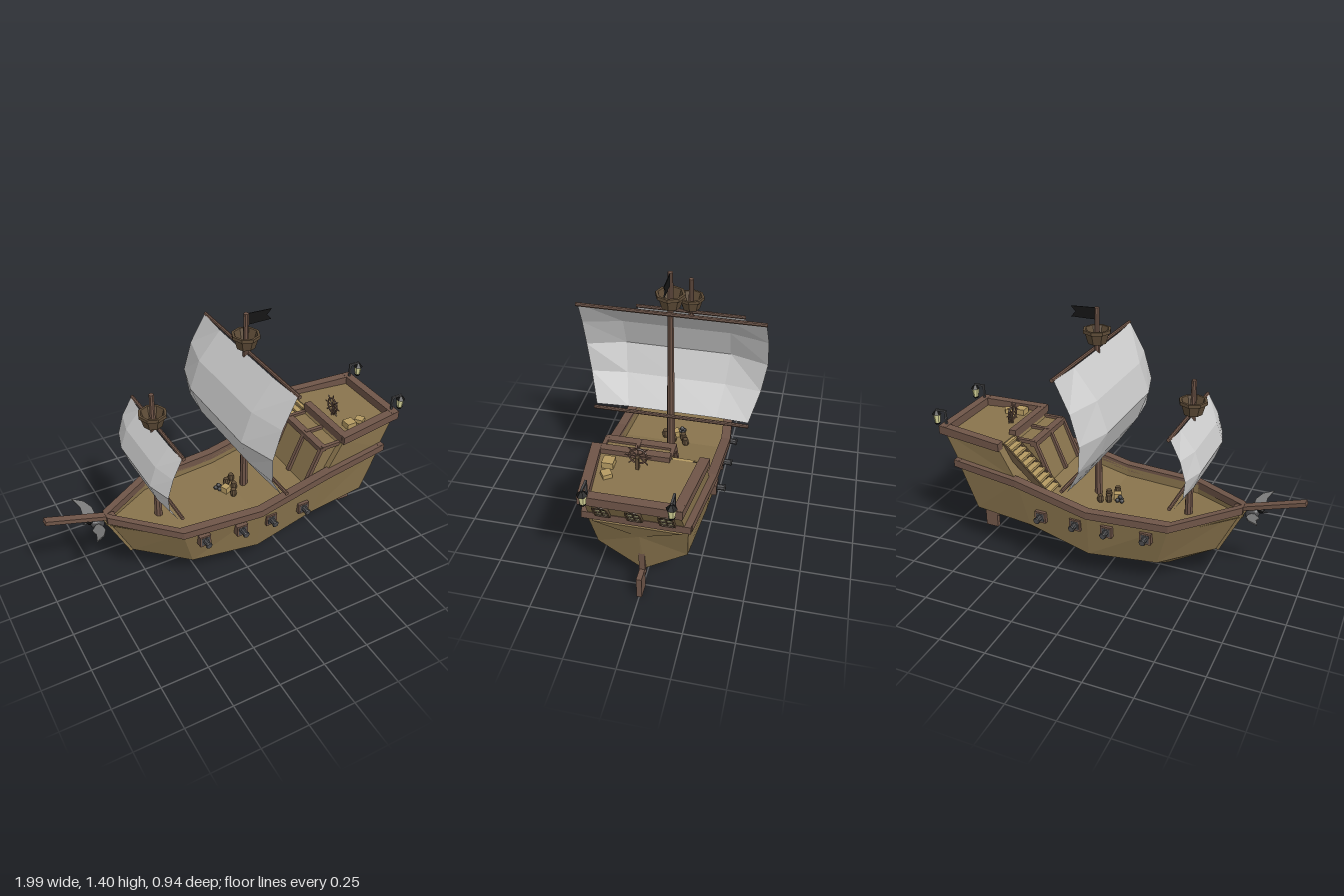
import * as THREE from 'three';

const mat = (color, side = THREE.FrontSide) => new THREE.MeshStandardMaterial({ color, flatShading: true, side });
const WOOD = mat(0x89744d), TRIM = mat(0x6f5548), DARK = mat(0x5e4c37), SAIL = mat(0xcccccc, THREE.DoubleSide);
const IRON = mat(0x4a4a4c), BLACK = mat(0x151515, THREE.DoubleSide), GLASS = mat(0xd8d69a), TAN = mat(0xb59a62);
const WING = mat(0x777777);

export function createModel() {
  const ship = new THREE.Group();
  ship.name = 'sailingShip';

  const add = (name, geo, material, x = 0, y = 0, z = 0, parent = ship) => {
    const m = new THREE.Mesh(geo, material);
    m.name = name;
    m.position.set(x, y, z);
    parent.add(m);
    return m;
  };
  const box = (name, w, h, d, material, x, y, z, parent) =>
    add(name, new THREE.BoxGeometry(w, h, d), material, x, y, z, parent);
  const pole = (name, r0, r1, h, material, x, y, z, parent) =>
    add(name, new THREE.CylinderGeometry(r1, r0, h, 8), material, x, y, z, parent);
  // square beam running between two points
  const beam = (name, a, b, w, h, material = TRIM) => {
    const A = new THREE.Vector3(...a), B = new THREE.Vector3(...b);
    const m = new THREE.Mesh(new THREE.BoxGeometry(w, h, A.distanceTo(B)), material);
    m.name = name;
    m.position.copy(A).lerp(B, 0.5);
    m.lookAt(B);
    ship.add(m);
    return m;
  };
  // closed solid through matching rings of points, always facing outward
  const loft = (rings) => {
    const p = [], n = rings[0].length;
    const tri = (a, b, c) => p.push(a, b, c);
    for (let i = 0; i < rings.length - 1; i++) for (let j = 0; j < n; j++) {
      const k = (j + 1) % n, r = rings[i], s = rings[i + 1];
      tri(r[j], r[k], s[j]);
      tri(r[k], s[k], s[j]);
    }
    [rings[0], rings[rings.length - 1]].forEach((r, end) => {
      const mid = [0, 1, 2].map((a) => r.reduce((t, q) => t + q[a], 0) / n);
      for (let j = 0; j < n; j++) {
        const k = (j + 1) % n;
        end ? tri(mid, r[j], r[k]) : tri(mid, r[k], r[j]);
      }
    });
    let vol = 0;
    const V = p.map((q) => new THREE.Vector3(...q));
    for (let i = 0; i < V.length; i += 3) vol += V[i].dot(V[i + 1].clone().cross(V[i + 2]));
    if (vol < 0) for (let i = 0; i < V.length; i += 3) [V[i], V[i + 1]] = [V[i + 1], V[i]];
    const g = new THREE.BufferGeometry().setFromPoints(V);
    g.computeVertexNormals();
    return g;
  };

  // hull stations from bow to stern: top x,y,z / chine x,y,z / keel x,y
  const stations = [
    [-0.69, 0.455, 0.015, -0.56, 0.185, 0.012, -0.555, 0.18],
    [-0.38, 0.405, 0.25, -0.3, 0.14, 0.19, -0.3, 0.03],
    [0.05, 0.405, 0.288, 0.06, 0.14, 0.25, 0.06, 0.03],
    [0.45, 0.5, 0.285, 0.4, 0.235, 0.25, 0.4, 0.025],
    [0.83, 0.52, 0.24, 0.74, 0.25, 0.22, 0.74, 0.11],
  ];
  add('hull', loft(stations.map(([x, y, z, cx, cy, cz, kx, ky]) => {
    const inner = Math.max(z - 0.03, 0.004);
    const half = [[x, y - 0.05, inner], [x, y, inner], [x, y, z], [cx, cy, cz], [kx, ky, 0.01]];
    return [...half, ...half.map(([a, b, c]) => [a, b, -c]).reverse()];
  })), WOOD);

  // rail along both sides, closed by a beam over the stern
  const railGeo = loft(stations.map(([x, y, z], i) => {
    const o = z + 0.018, n = i ? z - 0.03 : -0.01;
    return [[x, y - 0.022, o], [x, y + 0.018, o], [x, y + 0.018, n], [x, y - 0.022, n]];
  }));
  for (const s of [1, -1]) add('hullRail', railGeo, TRIM).scale.z = s;
  beam('sternRail', [0.83, 0.518, -0.255], [0.83, 0.518, 0.255], 0.035, 0.04);

  // aft castle with raking sides
  const ring = (y, x0, z0, x1, z1) => [[x0, y, z0], [x1, y, z1], [x1, y, -z1], [x0, y, -z0]];
  add('aftCastle', loft([ring(0.43, 0.45, 0.25, 0.79, 0.215), ring(0.51, 0.47, 0.268, 0.83, 0.226),
    ring(0.67, 0.56, 0.268, 0.914, 0.215)]), WOOD);
  const castleRail = loft([[0.55, 0.655, 0.698, 0.265], [0.935, 0.668, 0.715, 0.217]].map(([x, lo, hi, z]) =>
    [[x, lo, z + 0.018], [x, hi, z + 0.018], [x, hi, z - 0.03], [x, lo, z - 0.03]]));
  for (const s of [1, -1]) add('castleRail', castleRail, TRIM).scale.z = s;
  beam('castleSternRail', [0.916, 0.691, -0.235], [0.916, 0.691, 0.235], 0.045, 0.047);
  beam('castleFrontRail', [0.568, 0.675, -0.1], [0.568, 0.675, 0.26], 0.04, 0.045);

  // sloped cabin front beside the stairs
  const wedge = (z) => [[0.35, 0.42, z], [0.44, 0.64, z], [0.57, 0.64, z], [0.57, 0.42, z]];
  add('cabinFront', loft([wedge(-0.085), wedge(0.235)]), WOOD);
  beam('cabinFrontRail', [0.445, 0.638, -0.1], [0.445, 0.638, 0.245], 0.04, 0.03);
  for (const z of [-0.09, 0.08, 0.24]) {
    beam('cabinPost', [0.345, 0.43, z], [0.44, 0.648, z], 0.02, 0.02);
    beam('cabinBeam', [0.44, 0.645, z], [0.56, 0.645, z], 0.02, 0.02);
  }

  // stairs up to the aft deck
  for (let i = 0; i < 10; i++) box('stairStep', 0.034, 0.014, 0.11, TAN, 0.315 + i * 0.027, 0.43 + i * 0.0255, -0.155);
  for (const z of [-0.21, -0.1]) beam('stairStringer', [0.3, 0.405, z], [0.57, 0.66, z], 0.012, 0.035, DARK);

  // arched stern windows, leaning with the castle wall
  const arch = (w, h) => {
    const s = new THREE.Shape();
    s.moveTo(-w, 0).lineTo(w, 0).lineTo(w, h).absarc(0, h, w, 0, Math.PI, false).lineTo(-w, 0);
    return s;
  };
  const extrude = (s, depth) => new THREE.ExtrudeGeometry(s, { depth, bevelEnabled: false, curveSegments: 6 });
  for (const z of [-0.15, 0, 0.15]) {
    const w = new THREE.Group();
    w.name = 'sternWindow';
    w.position.set(0.845, 0.54, z);
    w.rotation.set(0.487, Math.PI / 2, 0, 'YXZ');
    ship.add(w);
    const frame = arch(0.036, 0.085);
    frame.holes.push(arch(0.028, 0.085));
    add('windowFrame', extrude(frame, 0.02), DARK, 0, 0, -0.005, w);
    add('windowPane', extrude(arch(0.03, 0.085), 0.008), GLASS, 0, 0, -0.003, w);
    box('windowBar', 0.006, 0.11, 0.012, DARK, 0, 0.056, 0.004, w);
    for (const y of [0.004, 0.04, 0.08]) box('windowBar', 0.06, 0.007, 0.012, DARK, 0, y, 0.004, w);
  }

  // rudder and stern post
  box('rudder', 0.075, 0.12, 0.026, TRIM, 0.793, 0.06, 0);
  beam('sternPost', [0.75, 0.08, 0], [0.755, 0.255, 0], 0.03, 0.02);

  // gun ports and cannons on both sides
  for (const s of [1, -1]) for (const x of [-0.26, -0.055, 0.12, 0.32]) {
    const g = new THREE.Group();
    g.name = 'cannon';
    g.position.set(x, 0.32, s * (x < -0.2 ? 0.245 : 0.265));
    if (s < 0) g.rotation.y = Math.PI;
    ship.add(g);
    box('gunPort', 0.062, 0.062, 0.045, TRIM, 0, 0, 0, g);
    box('gunPortOpening', 0.044, 0.044, 0.004, IRON, 0, 0, 0.022, g);
    pole('cannonBarrel', 0.016, 0.014, 0.07, IRON, 0, 0, 0.03, g).rotation.x = Math.PI / 2;
    add('cannonMuzzle', new THREE.TorusGeometry(0.014, 0.005, 5, 8), IRON, 0, 0, 0.06, g);
  }

  // masts, crow's nests, yards and sails
  const sailRows = [ // height share, half width, centre bulge, edge bulge
    [1, 0.46, 0.01, 0], [0.75, 0.47, 0.13, 0.08], [0.49, 0.47, 0.185, 0.125], [0.24, 0.445, 0.13, 0.105], [0, 0.4, 0.03, 0.02],
  ];
  const rig = (x, base, top, nestY, sailLow, sailTop, k) => {
    pole('mast', 0.022, 0.013, top - base, TRIM, x, (top + base) / 2, 0);
    const nest = [[0, 0], [0.048, 0], [0.064, 0.055], [0.073, 0.055], [0.073, 0.072], [0.06, 0.072], [0.042, 0.012], [0, 0.012]];
    add('crowsNest', new THREE.LatheGeometry(nest.map((p) => new THREE.Vector2(...p)), 8), DARK, x, nestY, 0);
    for (const [y, half] of [[sailTop, 0.465], [sailLow, 0.405]])
      pole('yard', 0.01, 0.01, 2 * half * k, TRIM, x + 0.018, y, 0).rotation.x = Math.PI / 2;
    const geo = new THREE.PlaneGeometry(1, 1, 4, 4), p = geo.attributes.position;
    for (let i = 0; i < p.count; i++) {
      const [v, half, mid, edge] = sailRows[Math.floor(i / 5)], c = i % 5;
      p.setXYZ(i, -k * (c % 4 ? mid : edge), v * (sailTop - sailLow), [-1, -0.58, 0, 0.58, 1][c] * half * k);
    }
    geo.computeVertexNormals();
    add('sail', geo, SAIL, x + 0.01, sailLow, 0);
  };
  rig(0.11, 0.34, 1.4, 1.22, 0.58, 1.185, 1);
  rig(-0.4, 0.34, 1.1, 0.925, 0.52, 0.91, 0.65);

  // swallow-tailed flag
  const flag = new THREE.Shape([[0, 0], [0.13, 0], [0.105, 0.028], [0.13, 0.055], [0, 0.06]].map((p) => new THREE.Vector2(...p)));
  add('flag', extrude(flag, 0.004), BLACK, 0.12, 1.338, -0.002);

  // bowsprit and winged figurehead
  beam('bowsprit', [-0.995, 0.552, 0], [-0.64, 0.445, 0], 0.04, 0.022);
  beam('stem', [-0.7, 0.46, 0], [-0.565, 0.185, 0], 0.024, 0.02, WOOD);
  const body = add('figureheadBody', new THREE.IcosahedronGeometry(0.03, 1), IRON, -0.735, 0.435, 0);
  body.scale.set(1.4, 1, 0.9);
  body.rotation.z = -0.6;
  add('figureheadHead', new THREE.IcosahedronGeometry(0.02, 0), BLACK, -0.775, 0.462, 0);
  add('figureheadBeak', new THREE.ConeGeometry(0.009, 0.03, 5), IRON, -0.8, 0.455, 0).rotation.z = Math.PI / 2;
  const wing = new THREE.Shape([[-0.74, 0.01], [-0.785, 0.07], [-0.78, 0.12], [-0.8, 0.185], [-0.75, 0.15], [-0.725, 0.1], [-0.725, 0.05]]
    .map((p) => new THREE.Vector2(...p)));
  for (const s of [1, -1]) {
    const g = new THREE.Group();
    g.name = 'figureheadWing';
    g.scale.z = s;
    ship.add(g);
    add('wing', extrude(wing, 0.006), WING, 0, 0.44, 0, g).rotation.x = Math.PI / 2 - 0.25;
  }

  // stern lanterns on bent posts
  for (const z of [-0.195, 0.195]) {
    beam('lanternPost', [0.915, 0.7, z], [0.915, 0.79, z], 0.01, 0.01, IRON);
    beam('lanternArm', [0.91, 0.787, z], [0.975, 0.787, z], 0.01, 0.01, IRON);
    const lamp = (name, r0, r1, h, m, y) => add(name, new THREE.CylinderGeometry(r1, r0, h, 6), m, 0.972, y, z);
    lamp('lanternCap', 0.026, 0.008, 0.022, BLACK, 0.772);
    lamp('lanternGlass', 0.014, 0.021, 0.05, GLASS, 0.737);
    lamp('lanternBase', 0.012, 0.017, 0.01, BLACK, 0.708);
  }

  // steering wheel
  const wheel = new THREE.Group();
  wheel.name = 'steeringWheel';
  wheel.position.set(0.64, 0.73, 0.035);
  wheel.rotation.y = Math.PI / 2;
  ship.add(wheel);
  add('wheelRim', new THREE.TorusGeometry(0.042, 0.005, 5, 12), TRIM, 0, 0, 0, wheel);
  for (let i = 0; i < 4; i++) pole('wheelSpoke', 0.003, 0.003, 0.125, TRIM, 0, 0, 0, wheel).rotation.z = i * Math.PI / 4;
  box('wheelStand', 0.02, 0.07, 0.016, DARK, 0.655, 0.7, 0.035);

  // aft deck crates, deck barrels and cannonballs
  box('crate', 0.055, 0.035, 0.055, TAN, 0.66, 0.685, 0.17);
  box('crate', 0.045, 0.025, 0.045, TAN, 0.735, 0.68, 0.16).rotation.y = 0.6;
  for (const [x, z] of [[0.03, -0.05], [0.07, -0.07], [0.05, 0.0], [0.02, 0.05]])
    add('barrel', new THREE.LatheGeometry([[0, 0], [0.014, 0], [0.019, 0.02], [0.014, 0.042], [0, 0.042]]
      .map((p) => new THREE.Vector2(...p)), 8), DARK, x, 0.355, z);
  for (const [x, y, z] of [[-0.04, 0, -0.04], [-0.015, 0, -0.04], [-0.028, 0, -0.018], [-0.028, 0.018, -0.032]])
    add('cannonball', new THREE.IcosahedronGeometry(0.012, 1), IRON, x, 0.367 + y, z);
  box('deckCrate', 0.04, 0.035, 0.04, TAN, 0.0, 0.372, 0.0).rotation.y = 0.4;

  return ship;
}
